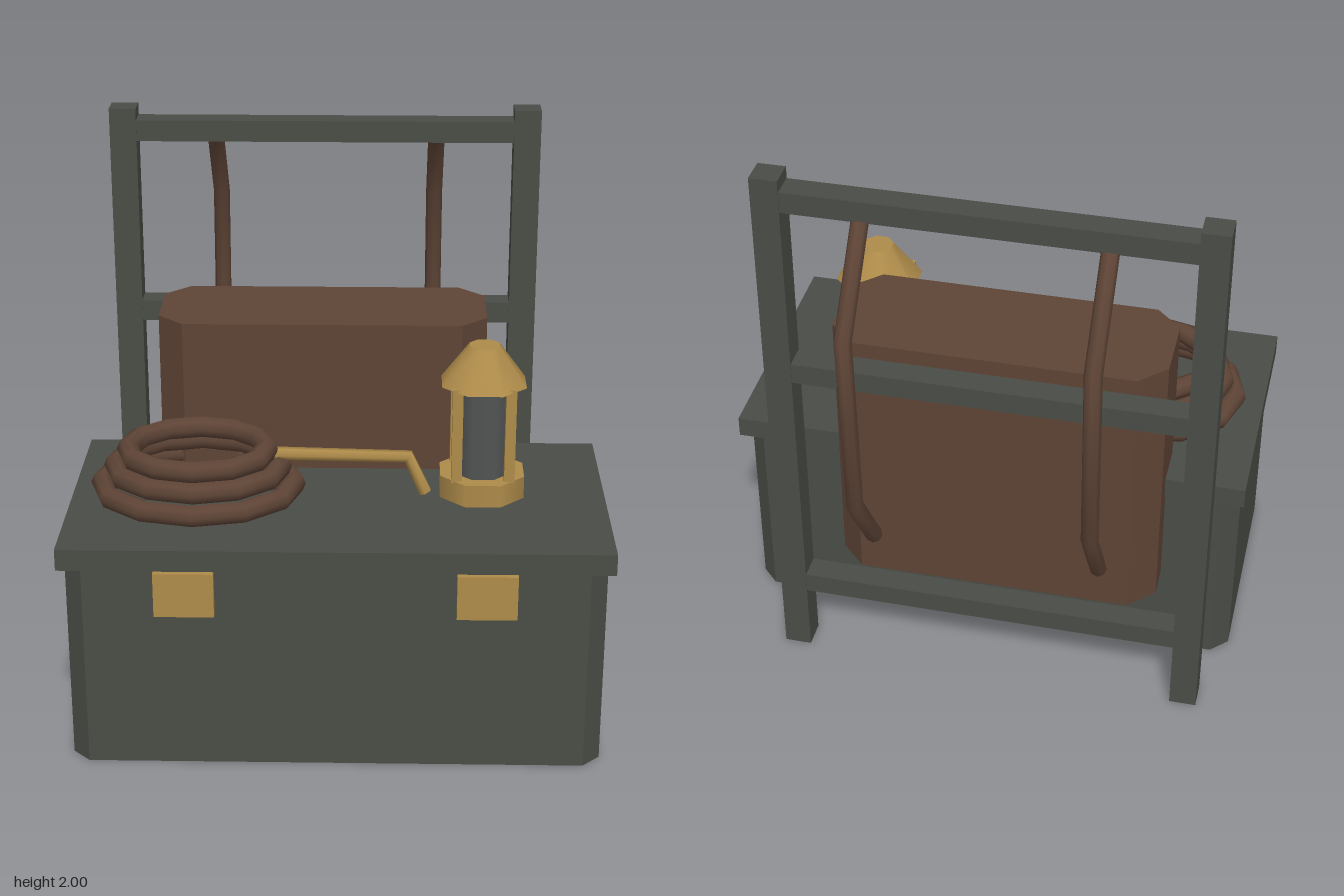
import * as THREE from 'three';

const mat = (color) => new THREE.MeshStandardMaterial({ color });
const iron = mat(0x4a4d46);
const leather = mat(0x5e4436);
const brass = mat(0xae8b4a);
const glass = mat(0x525554);

function add(parent, name, geometry, material, x = 0, y = 0, z = 0) {
  const mesh = new THREE.Mesh(geometry, material);
  mesh.name = name;
  mesh.position.set(x, y, z);
  parent.add(mesh);
  return mesh;
}

// Box given by its minimum and maximum corners
function block(parent, name, material, [x0, y0, z0], [x1, y1, z1]) {
  return add(parent, name, new THREE.BoxGeometry(x1 - x0, y1 - y0, z1 - z0), material,
    (x0 + x1) / 2, (y0 + y1) / 2, (z0 + z1) / 2);
}

// Upright box whose four vertical edges are cut off by c
function chamferedBox(w, h, d, c) {
  const a = w / 2, b = d / 2;
  const shape = new THREE.Shape([
    [-a + c, -b], [a - c, -b], [a, -b + c], [a, b - c],
    [a - c, b], [-a + c, b], [-a, b - c], [-a, -b + c],
  ].map(([x, y]) => new THREE.Vector2(x, y)));
  return new THREE.ExtrudeGeometry(shape, { depth: h, bevelEnabled: false }).rotateX(-Math.PI / 2);
}

// Path with straight runs and one ring at every corner
class Polyline extends THREE.Curve {
  constructor(points) {
    super();
    this.points = points.map((p) => new THREE.Vector3(...p));
  }
  getPoint(t, target = new THREE.Vector3()) {
    const n = this.points.length - 1;
    const i = Math.min(Math.floor(t * n + 1e-6), n - 1);
    return target.lerpVectors(this.points[i], this.points[i + 1], t * n - i);
  }
  getPointAt(t, target) { return this.getPoint(t, target); }
  getTangentAt(t, target = new THREE.Vector3()) {
    const p = this.points, n = p.length - 1, i = Math.round(t * n);
    target.set(0, 0, 0);
    if (i > 0) target.add(p[i].clone().sub(p[i - 1]).normalize());
    if (i < n) target.add(p[i + 1].clone().sub(p[i]).normalize());
    return target.normalize();
  }
}

function bentTube(points, radius, sides) {
  return new THREE.TubeGeometry(new Polyline(points), points.length - 1, radius, sides);
}

function buildChest() {
  const chest = new THREE.Group();
  chest.name = 'chest';
  add(chest, 'chestBody', chamferedBox(1.8, 0.73, 0.9, 0.06), iron, 0, 0, 0.28);
  block(chest, 'chestLid', iron, [-0.92, 0.725, -0.195], [0.92, 0.8, 0.745]);
  for (const x of [-0.5, 0.5]) {
    block(chest, 'latch', brass, [x - 0.1, 0.565, 0.7], [x + 0.1, 0.722, 0.758]);
  }
  return chest;
}

function buildBackpack() {
  const pack = new THREE.Group();
  pack.name = 'framePack';
  pack.position.x = -0.0625;

  // Carrying frame
  for (const s of [-1, 1]) {
    block(pack, 'framePost', iron, [s * 0.72 - 0.0475, 0, -0.463], [s * 0.72 + 0.0475, 2, -0.367]);
  }
  for (const y of [0.3, 1.245, 1.92]) {
    block(pack, 'frameRail', iron, [-0.7, y - 0.038, -0.46], [0.7, y + 0.038, -0.37]);
  }

  // Bag and the pocket beneath it
  add(pack, 'bag', chamferedBox(1.155, 0.995, 0.42, 0.09), leather, 0, 0.345, -0.16);
  block(pack, 'pocket', leather, [-0.4, 0.245, -0.24], [0.4, 0.6, 0.04]);

  // Shoulder straps
  const strapPath = [[0, 1.9, -0.485], [0, 1.605, -0.722], [0, 0.9, -0.685], [0, 0.605, -0.485]];
  const strap = bentTube(strapPath, 0.03, 8);
  const strapMaterial = leather.clone();
  strapMaterial.side = THREE.DoubleSide;
  for (const s of [-1, 1]) add(pack, 'shoulderStrap', strap, strapMaterial, s * 0.4);
  return pack;
}

function buildRope() {
  const rope = new THREE.Group();
  rope.name = 'ropeCoil';
  rope.position.set(-0.485, 0, 0.278);
  rope.scale.z = 0.85;
  [[0.333, 0.84], [0.286, 0.905], [0.24, 0.965]].forEach(([radius, y]) => {
    add(rope, 'ropeLoop', new THREE.TorusGeometry(radius, 0.039, 8, 12).rotateX(Math.PI / 2), leather, 0, y, 0);
  });
  return rope;
}

function buildLantern() {
  const lantern = new THREE.Group();
  lantern.name = 'lantern';
  lantern.position.set(0.495, 0, 0.235);
  const drum = (top, bottom, h) =>
    new THREE.CylinderGeometry(top, bottom, h, 8).rotateY(Math.PI / 8);
  add(lantern, 'lanternBase', drum(0.156, 0.156, 0.08), brass, 0, 0.84, 0);
  add(lantern, 'lanternGlass', drum(0.1, 0.1, 0.34), glass, 0, 1.045, 0);
  add(lantern, 'lanternRoof', drum(0.055, 0.155, 0.135), brass, 0, 1.2725, 0);
  for (const x of [-1, 1]) {
    for (const z of [-1, 1]) {
      add(lantern, 'lanternPost', new THREE.BoxGeometry(0.036, 0.34, 0.036), brass, x * 0.09, 1.045, z * 0.09);
    }
  }
  return lantern;
}

export function createModel() {
  const model = new THREE.Group();
  model.name = 'travelKit';
  model.add(buildChest(), buildBackpack(), buildRope(), buildLantern());

  // Bent metal handle lying from the rope to the lid
  const handlePath = [[-0.315, 0.9, 0.272], [-0.22, 0.95, 0.272], [0.24, 0.942, 0.272], [0.3, 0.81, 0.272]];
  const handleMaterial = brass.clone();
  handleMaterial.side = THREE.DoubleSide;
  add(model, 'handle', bentTube(handlePath, 0.024, 6), handleMaterial);
  return model;
}
